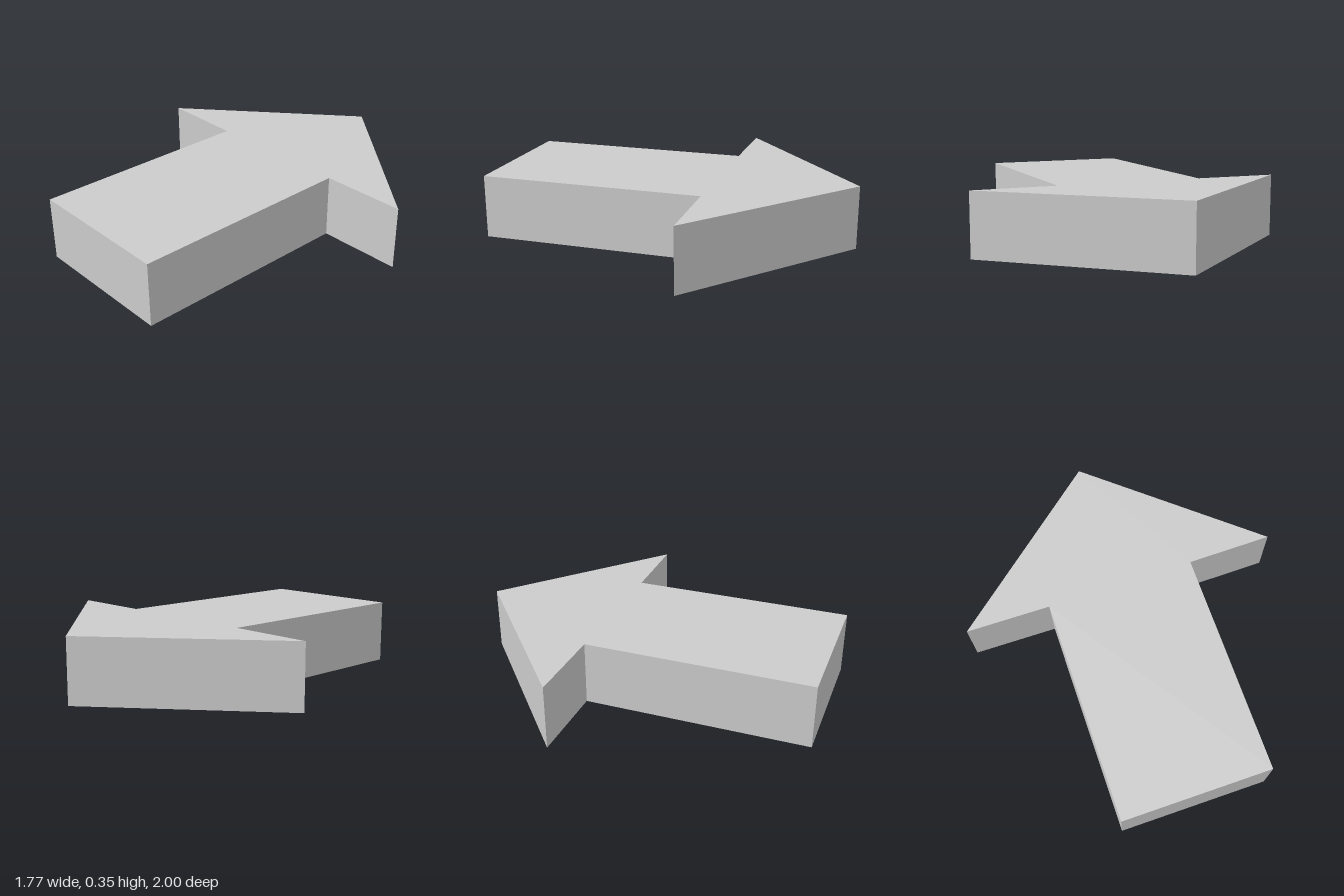
import * as THREE from 'three';

export function createModel() {
  const group = new THREE.Group();
  group.name = 'arrow';

  const height = 0.353;
  // Right half of the outline, from tail to tip; y points towards the tip
  const half = [[0.415, -1], [0.415, 0.24], [0.885, 0.245]];
  const mirrored = half.map(([x, y]) => [-x, y]).reverse();
  const outline = [...half, [0, 1], ...mirrored].map(([x, y]) => new THREE.Vector2(x, y));

  // Flat slab: shaft and head in one piece, laid down with the tip to the back
  const geometry = new THREE.ExtrudeGeometry(new THREE.Shape(outline), {
    depth: height,
    bevelEnabled: false,
  });
  geometry.rotateX(-Math.PI / 2);

  const arrow = new THREE.Mesh(geometry, new THREE.MeshStandardMaterial({ color: 0xcccccc }));
  arrow.name = 'arrowSlab';
  group.add(arrow);
  return group;
}
